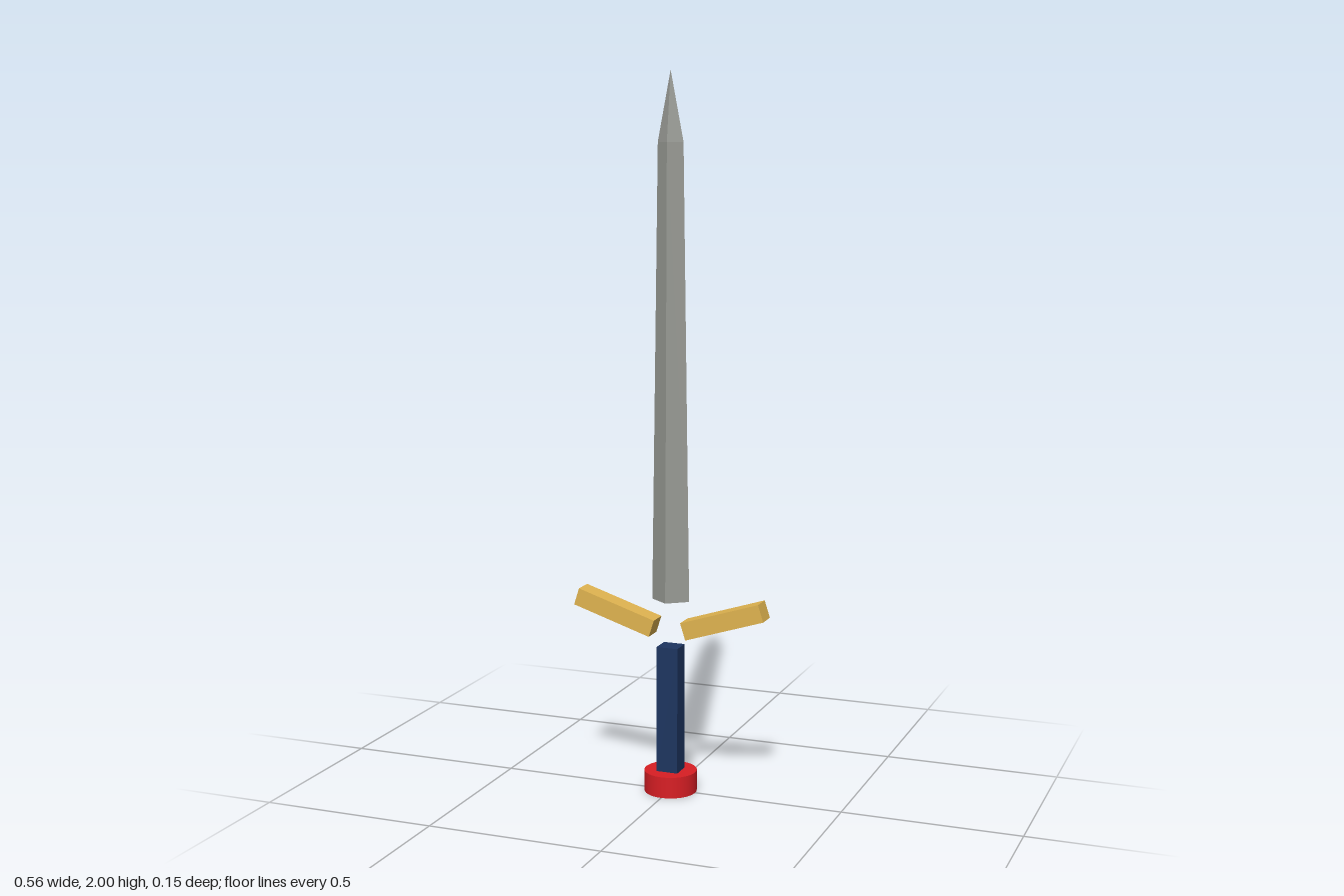
import * as THREE from 'three';

function addPart(parent, name, geometry, color, flatShading = true) {
  const mesh = new THREE.Mesh(geometry, new THREE.MeshStandardMaterial({ color, flatShading }));
  mesh.name = name;
  parent.add(mesh);
  return mesh;
}

export function createModel() {
  const sword = new THREE.Group();
  sword.name = 'sword';

  // Blade: tapering four-sided diamond section with a pointed tip
  const profile = [[0, 0.55], [0.055, 0.55], [0.037, 1.81], [0, 2]].map(([r, y]) => new THREE.Vector2(r, y));
  const bladeGeometry = new THREE.LatheGeometry(profile, 4).scale(1, 1, 0.76);
  addPart(sword, 'blade', bladeGeometry, 0x9a9c96);

  // Crossguard: two mirrored bars rising outward
  for (const side of [1, -1]) {
    const bar = addPart(sword, side > 0 ? 'leftGuard' : 'rightGuard',
      new THREE.BoxGeometry(0.238, 0.05, 0.058), 0xe0b450);
    bar.position.set(side * 0.16, 0.507, 0);
    bar.rotation.z = side * 0.31;
  }

  // Square grip
  const grip = addPart(sword, 'grip', new THREE.BoxGeometry(0.062, 0.365, 0.058), 0x1d3560);
  grip.position.y = 0.2375;

  // Round pommel
  const pommel = addPart(sword, 'pommel', new THREE.CylinderGeometry(0.074, 0.074, 0.06, 32), 0xd81e24, false);
  pommel.position.y = 0.03;

  return sword;
}
